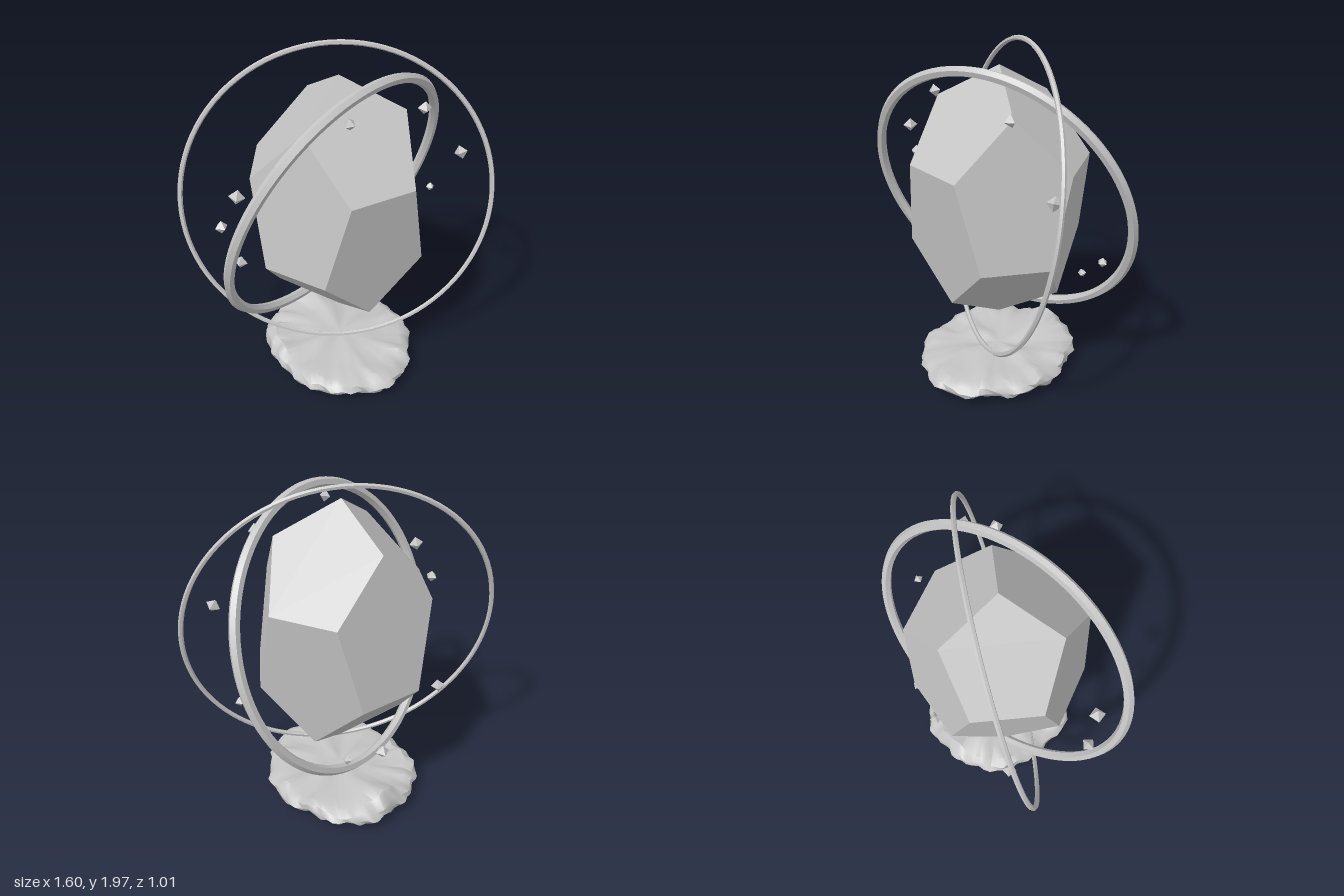
import * as THREE from 'three';
import { toCreasedNormals, mergeVertices } from 'three/addons/utils/BufferGeometryUtils.js';

const stone = new THREE.MeshStandardMaterial({ color: 0xc4c4c4 });
stone.name = 'grey stone';

const CENTRE = [0, 1.12, -0.01];

function part(name, geometry, position = [0, 0, 0]) {
  const mesh = new THREE.Mesh(geometry, stone);
  mesh.name = name;
  mesh.position.set(...position);
  return mesh;
}

// Tall dodecahedron standing on one corner
function crystalGeometry() {
  const phi = (1 + Math.sqrt(5)) / 2;
  const g = new THREE.DodecahedronGeometry(0.525);
  g.rotateX(Math.atan2(phi, 1 / phi));
  g.scale(1, 1.41, 1);
  g.computeVertexNormals();
  return g;
}

// Faceted hoop, tilted so that its axis follows the given normal
function ring(name, radius, tube, normal) {
  const g = toCreasedNormals(new THREE.TorusGeometry(radius, tube, 6, 96), 0.5);
  const mesh = part(name, g, CENTRE);
  mesh.quaternion.setFromUnitVectors(
    new THREE.Vector3(0, 0, 1), new THREE.Vector3(...normal).normalize());
  return mesh;
}

// Rough stone disc: a lathe with ridges, a high back edge and a flared left edge
function baseGeometry() {
  const profile = [[0, 0.045], [0.14, 0.045], [0.27, 0.045], [0.37, 0.05], [0.42, 0.07],
    [0.44, 0.1], [0.425, 0.13], [0.38, 0.15], [0.3, 0.15], [0.2, 0.155], [0.1, 0.155], [0, 0.155]]
    .map(([r, y]) => new THREE.Vector2(r, y));
  let g = new THREE.LatheGeometry(profile, 72);
  g.deleteAttribute('uv');
  g.deleteAttribute('normal');
  g = mergeVertices(g, 1e-4);
  const p = g.attributes.position;
  const bump = (x, z, cx, cz, w) => Math.exp(-((x - cx) ** 2 + (z - cz) ** 2) / (w * w));
  for (let i = 0; i < p.count; i++) {
    let x = p.getX(i), y = p.getY(i), z = p.getZ(i);
    const a = Math.atan2(z, x), rim = Math.min(1, Math.hypot(x, z) / 0.42) ** 3;
    const wobble = 1 + rim * (0.025 * Math.sin(5 * a + 1) + 0.02 * Math.sin(11 * a + 40 * y)
      + 0.015 * Math.sin(23 * a - 60 * y));
    x *= wobble * 0.96;
    z *= wobble * 1.12;
    const ridge = Math.sin(13 * x + 3 * Math.sin(9 * z)) * Math.sin(11 * z + 2 * Math.sin(12 * x));
    const top = Math.max(0, (y - 0.09) / 0.065);
    y += top * (0.018 * ridge + 0.07 * bump(x, z, 0, -0.37, 0.13));
    y += rim * 0.012 * Math.sin(17 * a) * Math.cos(7 * a);
    y = 0.1 + (y - 0.1) * (1 + 0.9 * bump(x, z, -0.44, -0.18, 0.14));
    x -= 0.03 * bump(x, z, -0.44, -0.18, 0.16);
    p.setXYZ(i, x, Math.max(0, y), z);
  }
  return toCreasedNormals(g, 0.7);
}

export function createModel() {
  const model = new THREE.Group();
  model.name = 'floatingCrystal';
  model.add(part('crystal', crystalGeometry(), CENTRE));
  model.add(ring('thinRing', 0.866, 0.014, [-0.41, 0.177, 0.895]));
  model.add(ring('thickRing', 0.788, 0.029, [0.3, -0.31, 0.9]));
  model.add(part('stoneBase', baseGeometry()));

  // Floating shards: x, y, z, radius
  const shards = new THREE.Group();
  shards.name = 'shards';
  [
    [-0.125, 1.755, 0.315, 0.034], [0.365, 1.695, 0.235, 0.038], [0.647, 1.355, 0.215, 0.04],
    [0.695, 0.955, -0.1, 0.028], [-0.5, 0.69, -0.295, 0.042], [-0.71, 1.21, 0.045, 0.036],
    [-0.643, 1.41, 0.125, 0.042], [0.265, 0.59, -0.435, 0.028], [0.04, 0.555, -0.455, 0.04],
  ].forEach(([x, y, z, r], i) => {
    const shard = part('shard', new THREE.OctahedronGeometry(r), [x, y, z]);
    shard.rotation.set(0.25 * Math.sin(i * 2.1), i * 0.9 + 0.4, 0.25 * Math.cos(i * 1.7));
    shards.add(shard);
  });
  model.add(shards);
  return model;
}
